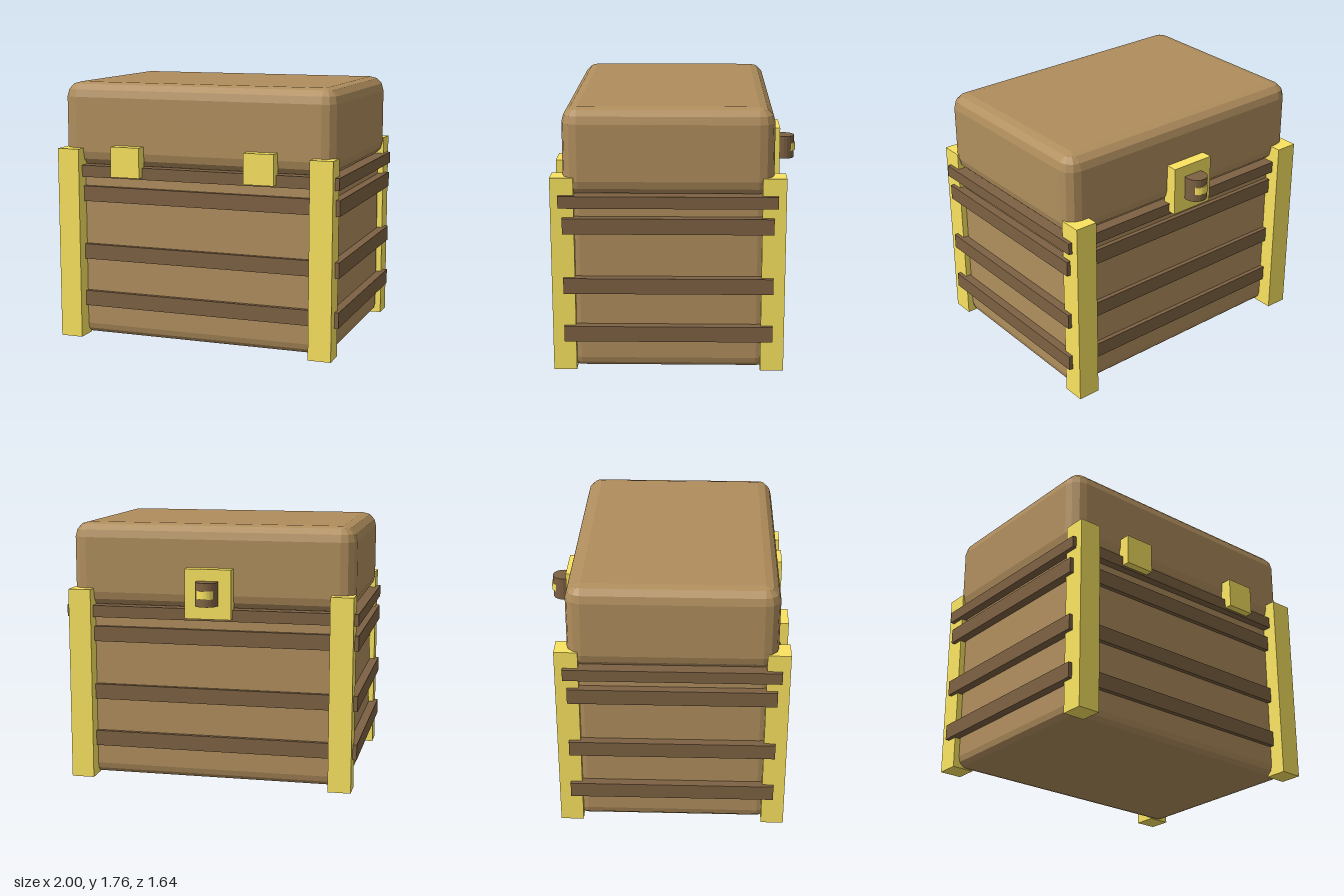
import * as THREE from 'three';
import { ConvexGeometry } from 'three/addons/geometries/ConvexGeometry.js';

const material = (color) => new THREE.MeshStandardMaterial({ color, flatShading: true });

// Box whose edges are rounded with three flat facets
function bevelledBox(w, h, d, r) {
  const points = [];
  const steps = 3;
  for (const sx of [-1, 1]) for (const sy of [-1, 1]) for (const sz of [-1, 1]) {
    for (let i = 0; i <= steps; i++) {
      const rise = (i / steps) * Math.PI / 2;
      for (let j = 0; j <= (i < steps ? steps : 0); j++) {
        const turn = (j / steps) * Math.PI / 2;
        points.push(new THREE.Vector3(
          sx * (w / 2 - r + r * Math.cos(rise) * Math.cos(turn)),
          sy * (h / 2 - r + r * Math.sin(rise)),
          sz * (d / 2 - r + r * Math.cos(rise) * Math.sin(turn))
        ));
      }
    }
  }
  return new ConvexGeometry(points);
}

export function createModel() {
  const model = new THREE.Group();
  model.name = 'chest';
  const wood = material(0xb08e5d);
  const darkWood = material(0x7d6142);
  const brass = material(0xfae460);

  const add = (name, geometry, mat, x, y, z) => {
    const mesh = new THREE.Mesh(geometry, mat);
    mesh.name = name;
    mesh.position.set(x, y, z);
    model.add(mesh);
  };
  // Box given by its extents on each axis
  const box = (name, mat, [x0, x1], [y0, y1], [z0, z1], radius = 0) => {
    const size = [x1 - x0, y1 - y0, z1 - z0];
    const geometry = radius ? bevelledBox(...size, radius) : new THREE.BoxGeometry(...size);
    add(name, geometry, mat, (x0 + x1) / 2, (y0 + y1) / 2, (z0 + z1) / 2);
  };

  // Rounded body and lid
  box('body', wood, [-0.94, 0.94], [0, 1.195], [-0.595, 0.715], 0.075);
  box('lid', wood, [-0.97, 0.97], [1.19, 1.763], [-0.625, 0.745], 0.1);

  // Rim under the lid, and slats running round the body
  box('rim', darkWood, [-1, 1], [1.12, 1.2], [-0.65, 0.77]);
  for (const y of [[0.21, 0.315], [0.542, 0.647], [0.948, 1.053]]) {
    box('slat', darkWood, [-1, 1], y, [-0.625, 0.745]);
  }

  // Corner posts and front clasps
  for (const s of [-1, 1]) {
    const posts = s > 0 ? [0.818, 0.973] : [-0.973, -0.818];
    box('frontPost', brass, posts, [0, 1.315], [0.67, 0.822]);
    box('backPost', brass, posts, [0, 1.315], [-0.702, -0.548]);
    const clasp = s > 0 ? [0.37, 0.578] : [-0.578, -0.37];
    box('frontClasp', brass, clasp, [1.135, 1.341], [0.735, 0.822]);
  }

  // Lock on the back
  box('lockPlate', brass, [-0.158, 0.158], [1.14, 1.475], [-0.702, -0.6]);
  add('lockBarrel', new THREE.CylinderGeometry(0.076, 0.076, 0.16, 20), darkWood, 0, 1.316, -0.735);
  add('lockBand', new THREE.CylinderGeometry(0.063, 0.063, 0.055, 20), brass, 0, 1.316, -0.757);

  return model;
}
